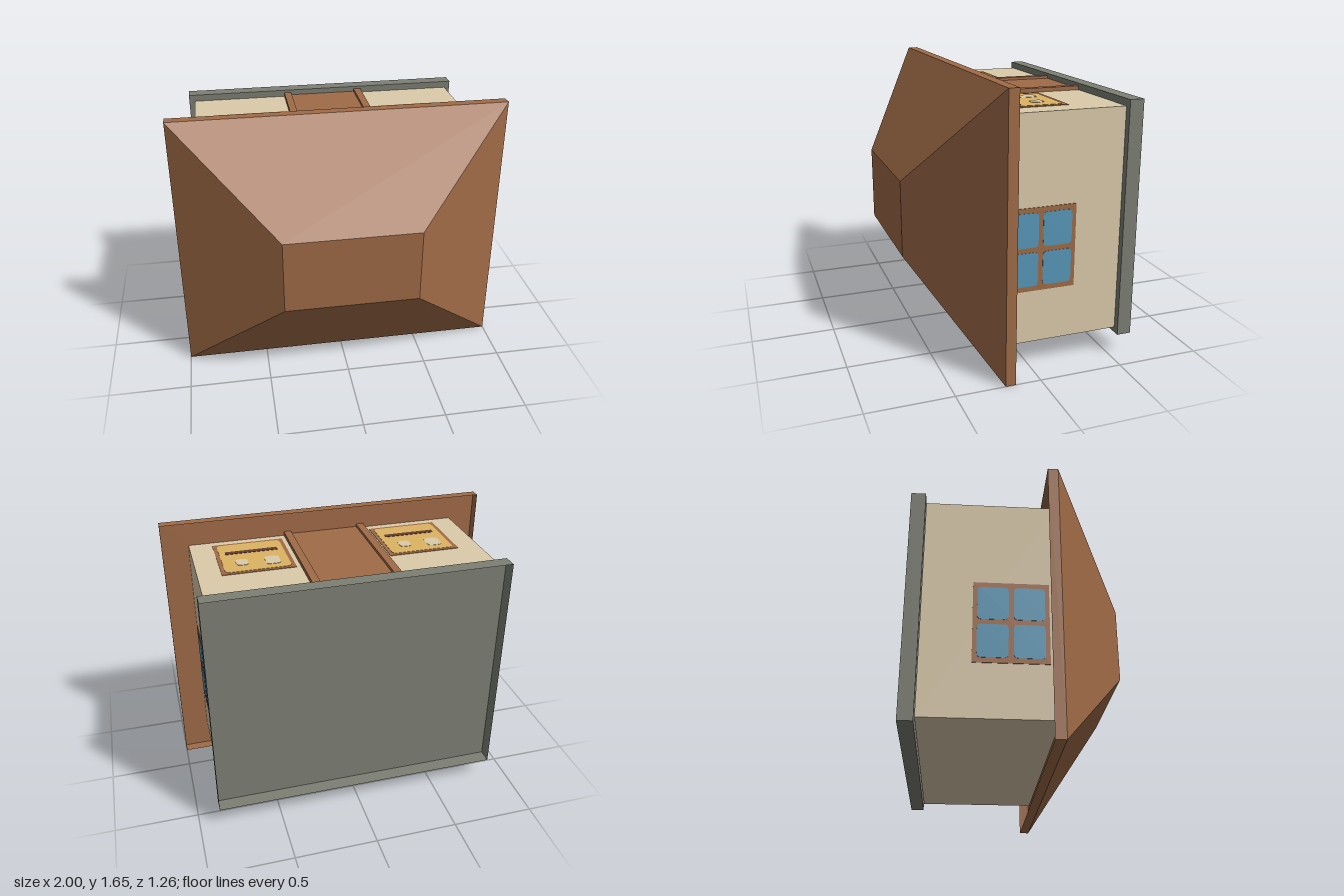
import * as THREE from 'three';

const mat = (name, color, side = THREE.FrontSide) => {
  const m = new THREE.MeshStandardMaterial({ color, side });
  m.name = name;
  return m;
};

// Thin shell through rectangular rings [x0, x1, y0, y1, z], open at the first and capped at the last
function shell(rings) {
  const pos = [];
  const loops = rings.map(([x0, x1, y0, y1, z]) => [[x0, y0, z], [x1, y0, z], [x1, y1, z], [x0, y1, z]]);
  const quad = (a, b, c, d) => pos.push(...a, ...b, ...c, ...a, ...c, ...d);
  for (let k = 0; k < loops.length - 1; k++) {
    for (let i = 0; i < 4; i++) {
      const j = (i + 1) % 4;
      quad(loops[k][i], loops[k][j], loops[k + 1][j], loops[k + 1][i]);
    }
  }
  quad(...loops[loops.length - 1]);
  const g = new THREE.BufferGeometry();
  g.setAttribute('position', new THREE.Float32BufferAttribute(pos, 3));
  g.computeVertexNormals();
  return g;
}

// Thin plate with rounded corners, facing +z
function plate(w, h, r, depth) {
  const s = new THREE.Shape();
  const x = w / 2, y = h / 2;
  s.moveTo(-x + r, -y);
  s.lineTo(x - r, -y);
  s.quadraticCurveTo(x, -y, x, -y + r);
  s.lineTo(x, y - r);
  s.quadraticCurveTo(x, y, x - r, y);
  s.lineTo(-x + r, y);
  s.quadraticCurveTo(-x, y, -x, y - r);
  s.lineTo(-x, -y + r);
  s.quadraticCurveTo(-x, -y, -x + r, -y);
  return new THREE.ExtrudeGeometry(s, { depth, bevelEnabled: false, curveSegments: 5 });
}

export function createModel() {
  const wood = mat('brown wood', 0xa06b47, THREE.DoubleSide);
  const wall = mat('cream wall', 0xdccbab);
  const stone = mat('grey stone', 0x7d7f74, THREE.DoubleSide);
  const glass = mat('blue glass', 0x5798b9);
  const gold = mat('golden glass', 0xdcb462);
  const dark = mat('dark brown', 0x643a2f);

  const model = new THREE.Group();
  model.name = 'house';
  const add = (parent, name, geometry, material, x = 0, y = 0, z = 0) => {
    const m = new THREE.Mesh(geometry, material);
    m.name = name;
    m.position.set(x, y, z);
    parent.add(m);
    return m;
  };
  const box = (name, material, x0, x1, y0, y1, z0, z1) => add(model, name,
    new THREE.BoxGeometry(x1 - x0, y1 - y0, z1 - z0), material,
    (x0 + x1) / 2, (y0 + y1) / 2, (z0 + z1) / 2);

  // Walls, hollow foundation and hollow hipped roof with its eaves
  box('walls', wall, -0.84, 0.84, 0.16, 1.49, -0.542, 0.205);
  add(model, 'foundation', shell([
    [-0.875, 0.875, 0.125, 1.53, -0.63],
    [-0.875, 0.875, 0.125, 1.53, -0.545]]), stone);
  add(model, 'roof', shell([
    [-1, 1, 0, 1.65, 0.15],
    [-1, 1, 0, 1.65, 0.21],
    [-0.405, 0.405, 0.6, 1.055, 0.63]]), wood);
  add(model, 'roofCeiling', new THREE.PlaneGeometry(2, 1.65), wood, 0, 0.825, 0.21);

  // Door panel between two raised posts
  box('doorPanel', wood, -0.21, 0.21, 1.48, 1.498, -0.542, 0.205);
  for (const s of [-1, 1]) {
    const c = s * 0.2325;
    box('doorPost', wood, c - 0.0225, c + 0.0225, 1.48, 1.515, -0.542, 0.205);
  }

  for (const s of [-1, 1]) {
    // Golden windows beside the door, each with a simple face
    const front = new THREE.Group();
    front.name = 'frontWindow';
    front.position.set(s * 0.4925, 1.49, -0.0525);
    front.rotation.x = -Math.PI / 2;
    add(front, 'windowFrame', plate(0.425, 0.415, 0.001, 0.003), wood);
    add(front, 'goldenPane', plate(0.38, 0.375, 0.03, 0.005), gold);
    add(front, 'largeEye', plate(0.085, 0.105, 0.025, 0.007), wall, -0.0965, 0.085);
    add(front, 'smallEye', plate(0.07, 0.08, 0.025, 0.007), wall, 0.0785, 0.0725);
    add(front, 'mouth', plate(0.31, 0.035, 0.005, 0.007), dark, 0, -0.068);
    model.add(front);

    // Four-pane windows on the side walls
    const side = new THREE.Group();
    side.name = 'sideWindow';
    side.position.set(s * 0.84, 0.72, -0.05);
    side.rotation.y = s * Math.PI / 2;
    add(side, 'windowFrame', plate(0.42, 0.49, 0.001, 0.004), wood);
    for (const x of [-0.1, 0.1]) {
      for (const y of [-0.115, 0.115]) {
        add(side, 'bluePane', plate(0.172, 0.2, 0.025, 0.006), glass, x, y);
      }
    }
    model.add(side);
  }
  return model;
}
